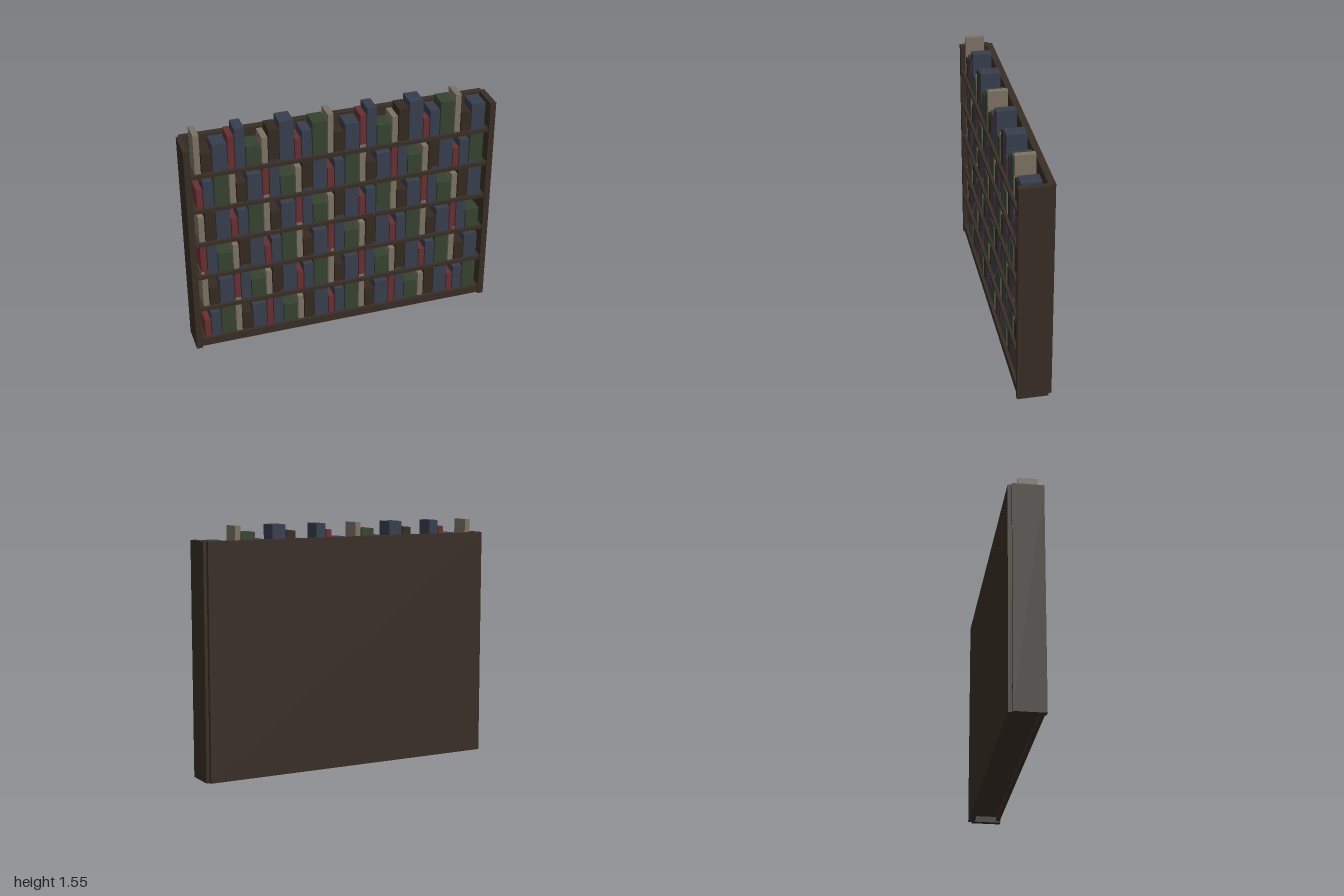
import * as THREE from 'three';

const mat = (name, color) => {
  const m = new THREE.MeshStandardMaterial({ color });
  m.name = name;
  return m;
};

export function createModel() {
  const wood = mat('dark wood', 0x382e24);
  const tan = mat('tan cloth', 0x7b7263);
  const brown = mat('brown leather', 0x342a20);
  const blue = mat('blue cloth', 0x363e4c);
  const red = mat('red cloth', 0x6b2e30);
  const green = mat('green cloth', 0x36432f);

  const group = new THREE.Group();
  group.name = 'bookcase';

  // Box given by its minimum and maximum corners
  const box = (name, material, [x0, y0, z0], [x1, y1, z1], parent = group) => {
    const mesh = new THREE.Mesh(new THREE.BoxGeometry(x1 - x0, y1 - y0, z1 - z0), material);
    mesh.position.set((x0 + x1) / 2, (y0 + y1) / 2, (z0 + z1) / 2);
    mesh.name = name;
    parent.add(mesh);
  };

  // Carcass: sides, back and plinth
  const height = 1.47, inner = 0.962, front = 0.103;
  box('leftSide', wood, [inner, 0, -0.086], [1, height, 0.108]);
  box('rightSide', wood, [-1, 0, -0.086], [-inner, height, 0.108]);
  box('backPanel', wood, [-0.98, 0.002, -0.11], [0.98, height, -0.068]);
  box('plinth', wood, [-inner, 0.01, 0.078], [inner, 0.042, front]);

  // Books repeat in colour every six, width every three and height every four
  const colours = [tan, brown, blue, red, blue, green];
  const widths = [0.037, 0.062, 0.09];
  const heights = [0.266, 0.133, 0.18, 0.226];
  const gap = 0.0065;

  for (let row = 0; row < 6; row++) {
    const top = 1.289 - row * 0.245;
    box('shelf', wood, [-inner, top - 0.024, -0.068], [inner, top, front]);

    const books = new THREE.Group();
    books.name = 'bookRow';
    group.add(books);
    let x = -0.932;
    for (let i = 0; i < 27; i++) {
      const w = widths[i % 3];
      const h = heights[(i + row) % 4];
      box('book', colours[(i + row * 3) % 6], [x, top, -0.042], [x + w, top + h, 0.083], books);
      x += w + gap;
    }
  }
  return group;
}
